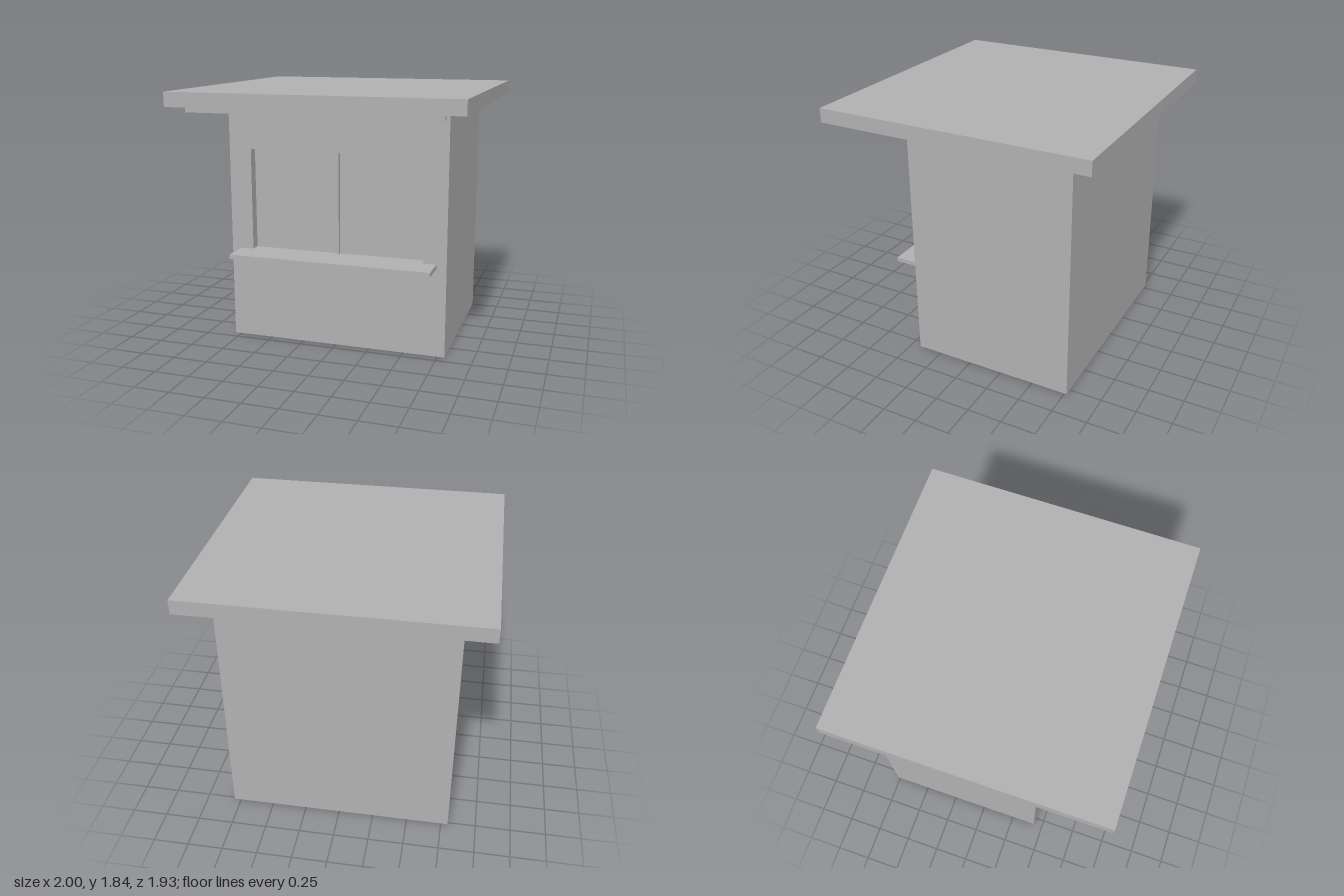
import * as THREE from 'three';

export function createModel() {
  const group = new THREE.Group();
  const grey = new THREE.MeshStandardMaterial({ color: 0xb0b0b0, side: THREE.DoubleSide });
  grey.name = 'plain grey';

  const add = (name, geometry) => {
    const mesh = new THREE.Mesh(geometry, grey);
    mesh.name = name;
    group.add(mesh);
    return mesh;
  };
  // Box given by its limits on each axis
  const box = (name, [x0, x1], [y0, y1], [z0, z1]) =>
    add(name, new THREE.BoxGeometry(x1 - x0, y1 - y0, z1 - z0))
      .position.set((x0 + x1) / 2, (y0 + y1) / 2, (z0 + z1) / 2);
  // Thin sheet, turned about x or y
  const sheet = (name, w, h, x, y, z, rx = 0, ry = 0) => {
    const mesh = add(name, new THREE.PlaneGeometry(w, h));
    mesh.position.set(x, y, z);
    mesh.rotation.set(rx, ry, 0);
  };

  const W = 0.8, H = 1.74, front = 0.43, back = -0.765;
  const win = { x: 0.635, y0: 0.67, y1: 1.405, z: 0.36 };
  const winH = win.y1 - win.y0, winY = (win.y0 + win.y1) / 2;
  const recess = front - win.z, recessZ = (front + win.z) / 2;

  // Front wall with the serving window cut out
  const wall = new THREE.Shape([[-W, 0], [W, 0], [W, H], [-W, H]].map(p => new THREE.Vector2(...p)));
  wall.holes.push(new THREE.Path([[-win.x, win.y0], [-win.x, win.y1], [win.x, win.y1], [win.x, win.y0]]
    .map(p => new THREE.Vector2(...p))));
  add('frontWall', new THREE.ShapeGeometry(wall)).position.z = front;

  // Back and side walls, open underneath
  sheet('backWall', 2 * W, H, 0, H / 2, back, 0, Math.PI);
  for (const [side, s] of [['left', 1], ['right', -1]]) {
    sheet(side + 'Wall', front - back, H, s * W, H / 2, (front + back) / 2, 0, s * Math.PI / 2);
    sheet(side + 'WindowReveal', recess, winH, s * win.x, winY, recessZ, 0, -s * Math.PI / 2);
  }

  // Recessed window
  sheet('windowPanel', 2 * win.x, winH, 0, winY, win.z);
  sheet('windowSill', 2 * win.x, recess, 0, win.y0, recessZ, -Math.PI / 2);
  sheet('windowHead', 2 * win.x, recess, 0, win.y1, recessZ, Math.PI / 2);
  box('windowMullion', [-0.015, 0.012], [win.y0, win.y1], [win.z, 0.39]);

  // Serving counter and its support strip
  box('counter', [-0.73, 0.73], [0.64, 0.67], [front, 0.635]);
  box('counterSupport', [-0.69, 0.69], [0.625, 0.64], [0.42, 0.5]);

  // Flat roof with a batten under the front edge
  box('roof', [-1, 1], [H, 1.84], [-0.965, 0.965]);
  box('roofBatten', [-0.865, 0.865], [1.706, H], [0.9, 0.93]);

  return group;
}
